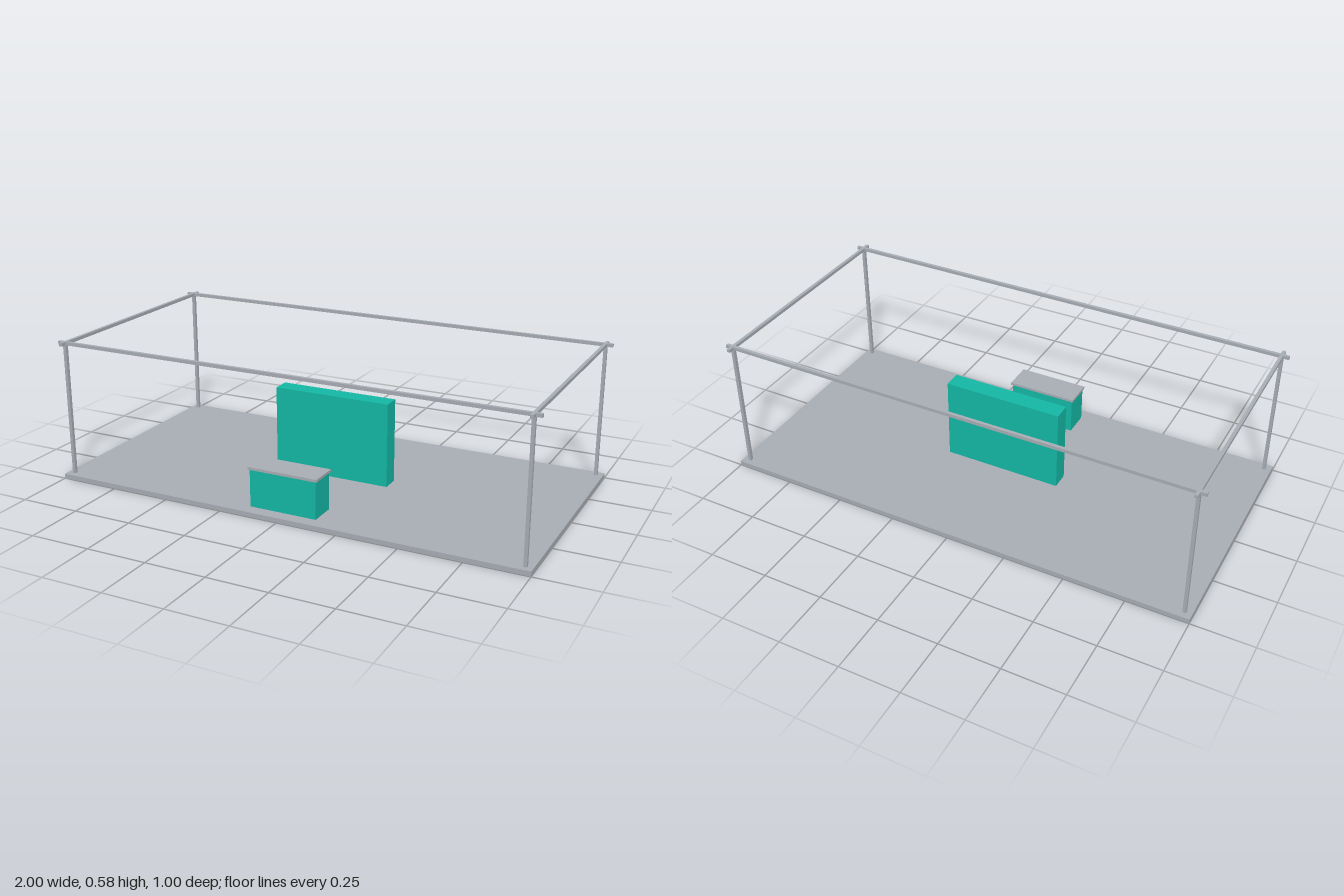
import * as THREE from 'three';

export function createModel() {
  const group = new THREE.Group();
  const grey = new THREE.MeshStandardMaterial({ color: 0xa9aeb6 });
  grey.name = 'grey';
  const teal = new THREE.MeshStandardMaterial({ color: 0x14b8a6 });
  teal.name = 'teal';

  // Box given by its horizontal centre and its bottom and top heights
  const box = (name, material, width, depth, bottom, top, x = 0, z = 0) => {
    const mesh = new THREE.Mesh(new THREE.BoxGeometry(width, top - bottom, depth), material);
    mesh.name = name;
    mesh.position.set(x, (bottom + top) / 2, z);
    group.add(mesh);
  };

  // Floor, a hair above the feet of the wall and counter that pass through it
  box('floor', grey, 2, 1, 0.001, 0.02);

  // Display wall and reception counter
  box('backWall', teal, 0.5, 0.074, 0, 0.37);
  box('counter', teal, 0.284, 0.11, 0, 0.174, 0, 0.393);
  box('counterTop', grey, 0.296, 0.12, 0.174, 0.185, 0, 0.393);

  // Open frame: corner posts with crossing beams on top
  const t = 0.0135, px = 0.97, pz = 0.47;
  for (const s of [-1, 1]) {
    for (const r of [-1, 1]) box('post', grey, t, t, 0.02, 0.571, s * px, r * pz);
    box('longBeam', grey, 2, t, 0.5705, 0.584, 0, s * pz);
    box('shortBeam', grey, t, 1, 0.5705, 0.584, s * px, 0);
  }
  return group;
}
